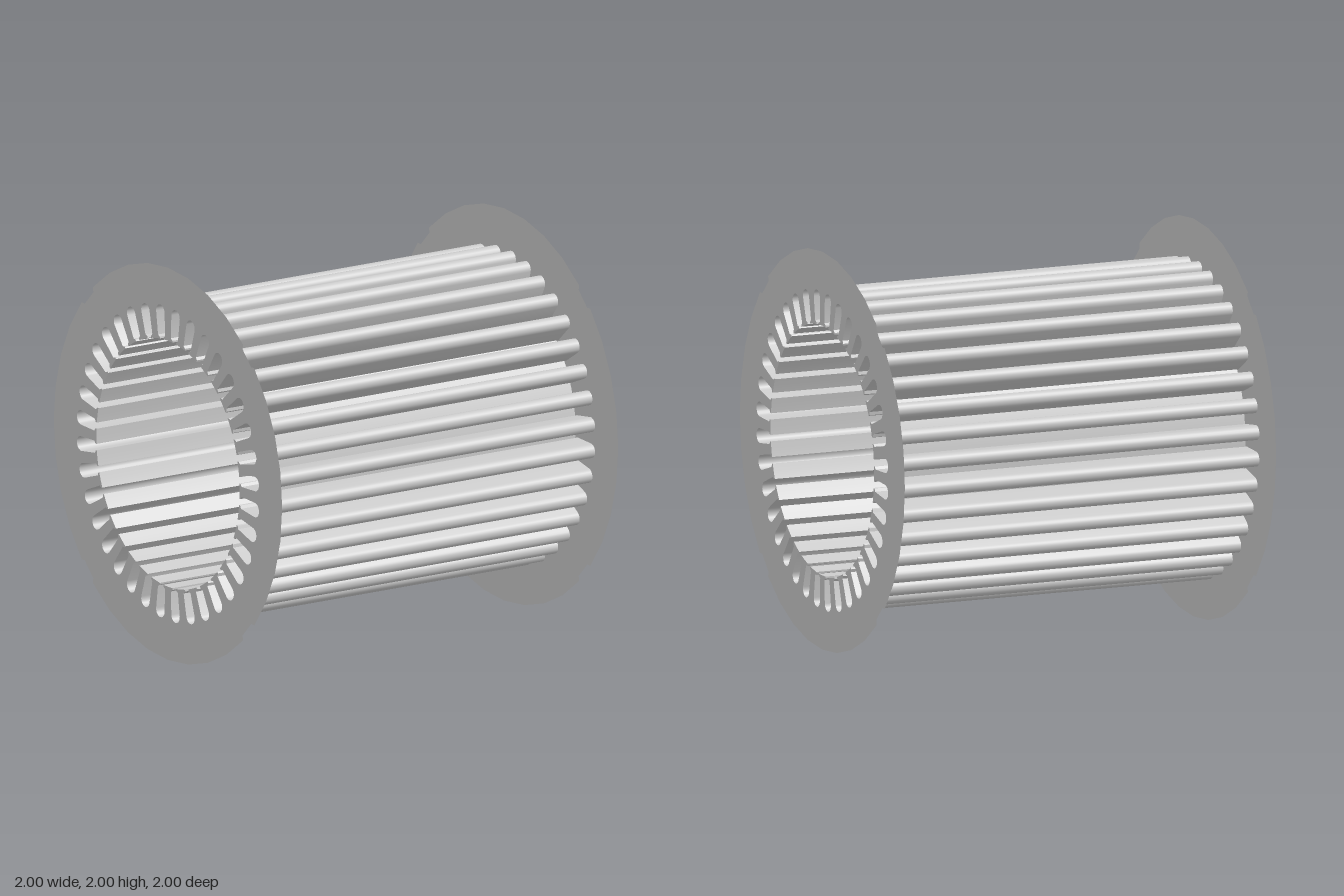
import * as THREE from 'three';
import { toCreasedNormals } from 'three/addons/utils/BufferGeometryUtils.js';

const SLOTS = 36;
const rad = THREE.MathUtils.degToRad;
const polar = (r, deg) => new THREE.Vector2(r * Math.cos(rad(deg)), r * Math.sin(rad(deg)));

// Outer rim: four faceted arcs separated by shallow undercut notches
function rimOutline() {
  const pts = [];
  for (let q = 0; q < 4; q++) {
    const mid = q * 90;
    pts.push(polar(0.979, mid - 41.9));
    for (let i = 0; i <= 8; i++) pts.push(polar(1, mid - 41 + i * 10.25));
    pts.push(polar(0.979, mid + 41.9));
  }
  return pts;
}

// Bore with round-ended slots opening between the tooth tips
function boreOutline() {
  const half = [[0.627, 0.016], [0.636, 0.017], [0.645, 0.031]];
  const profile = half.map(([r, w]) => [r, -w]);
  for (let i = 0; i <= 10; i++) {
    const a = Math.PI * i / 10;
    profile.push([0.763 + 0.037 * Math.sin(a), -0.037 * Math.cos(a)]);
  }
  profile.push(...half.reverse());
  const pts = [], origin = new THREE.Vector2();
  for (let s = 0; s < SLOTS; s++) {
    const deg = (s + 0.5) * 360 / SLOTS;
    for (const [r, w] of profile) pts.push(new THREE.Vector2(r, w).rotateAround(origin, rad(deg)));
    pts.push(polar(0.627, deg + 180 / SLOTS));
  }
  return pts;
}

// Sweep a closed outline along the axis as an open wall
function wallGeometry(outline, length) {
  const pos = [], h = length / 2;
  outline.forEach((a, i) => {
    const b = outline[(i + 1) % outline.length];
    pos.push(a.x, a.y, -h, a.x, a.y, h, b.x, b.y, h);
    pos.push(a.x, a.y, -h, b.x, b.y, h, b.x, b.y, -h);
  });
  const geo = new THREE.BufferGeometry();
  geo.setAttribute('position', new THREE.Float32BufferAttribute(pos, 3));
  return toCreasedNormals(geo, rad(35));
}

export function createModel() {
  const group = new THREE.Group();
  group.name = 'statorCore';
  const material = new THREE.MeshStandardMaterial({ color: 0xcccccc, side: THREE.DoubleSide });
  const bore = boreOutline();

  // Thin end plates, each facing outwards
  const plate = new THREE.Shape(rimOutline());
  plate.holes.push(new THREE.Path(bore));
  const plateGeometry = new THREE.ShapeGeometry(plate);
  for (const side of [1, -1]) {
    const mesh = new THREE.Mesh(plateGeometry, material);
    mesh.name = side > 0 ? 'leftEndPlate' : 'rightEndPlate';
    mesh.rotation.y = side * Math.PI / 2;
    mesh.position.set(side, 1, 0);
    group.add(mesh);
  }

  // Slot liners and tooth tips running between the plates
  const walls = new THREE.Mesh(wallGeometry(bore, 2), material);
  walls.name = 'slottedBore';
  walls.rotation.y = Math.PI / 2;
  walls.position.y = 1;
  group.add(walls);
  return group;
}
